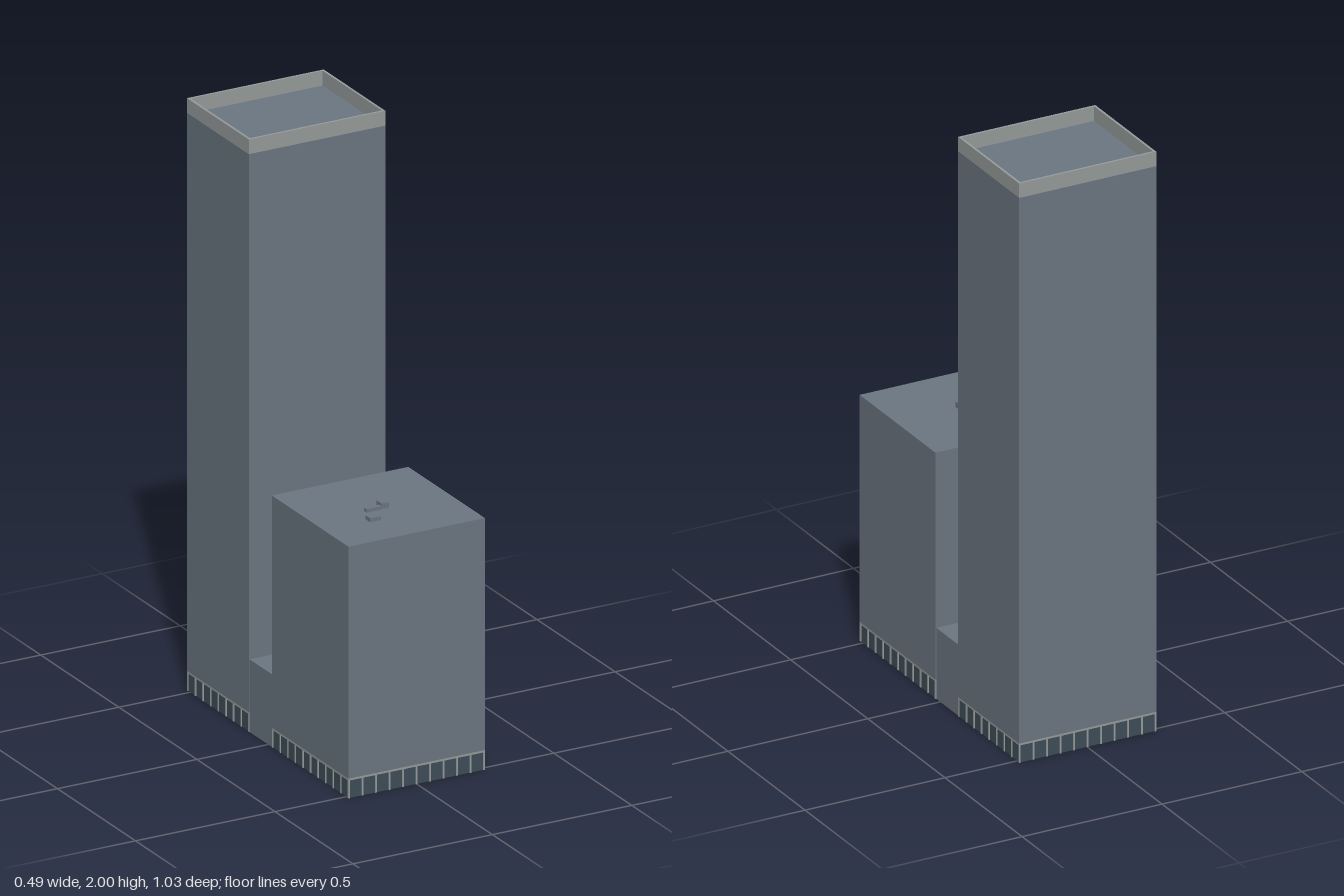
import * as THREE from 'three';

const material = (name, color) => {
  const m = new THREE.MeshStandardMaterial({ color, side: THREE.DoubleSide });
  m.name = name;
  return m;
};

// Box given by its limits; faces listed in omit are left out
// (0 +x, 1 -x, 2 +y, 3 -y, 4 +z, 5 -z)
function box(name, mat, [x0, x1], [y0, y1], [z0, z1], omit = []) {
  const g = new THREE.BoxGeometry(x1 - x0, y1 - y0, z1 - z0);
  const index = Array.from(g.index.array);
  g.setIndex(index.filter((_, i) => !omit.includes(Math.floor(i / 6))));
  g.clearGroups();
  g.translate((x0 + x1) / 2, (y0 + y1) / 2, (z0 + z1) / 2);
  const mesh = new THREE.Mesh(g, mat);
  mesh.name = name;
  return mesh;
}

export function createModel() {
  const wall = material('slate wall', 0x6c7782);
  const trim = material('light grey trim', 0x979d9c);
  const glass = material('dark glass', 0x3f4e59);
  const model = new THREE.Group();
  model.name = 'towerComplex';

  const X = [-0.246, 0.244];
  const towerZ = [-0.517, -0.121];
  const blockZ = [0.026, 0.517];
  const baseH = 0.067;

  // Glazed ground floor: glass walls, header strip and mullions
  function glazedBase(name, xr, zr, nx, nz) {
    const group = new THREE.Group();
    group.name = name;
    const inset = 0.003, w = 0.0055, headY = 0.06;
    group.add(box('glassWall', glass, [xr[0] + inset, xr[1] - inset], [0, headY],
      [zr[0] + inset, zr[1] - inset], [2, 3]));
    group.add(box('headerStrip', trim, xr, [headY, baseH], zr, [2, 3]));
    const post = (x0, x1, z0, z1) =>
      group.add(box('mullion', trim, [x0, x1], [0, headY], [z0, z1]));
    for (let i = 0; i <= nx; i++) {
      const x = xr[0] + (xr[1] - xr[0] - w) * i / nx;
      post(x, x + w, zr[0], zr[0] + 0.005);
      post(x, x + w, zr[1] - 0.005, zr[1]);
    }
    for (let i = 1; i < nz; i++) {
      const z = zr[0] + (zr[1] - zr[0] - w) * i / nz;
      post(xr[0], xr[0] + 0.005, z, z + w);
      post(xr[1] - 0.005, xr[1], z, z + w);
    }
    model.add(group);
  }

  // Tall tower and lower block, both hollow and open below
  model.add(box('tower', wall, X, [baseH, 1.95], towerZ, [3]));
  model.add(box('lowBlock', wall, X, [baseH, 0.85], blockZ, [3]));
  glazedBase('towerBase', X, towerZ, 10, 8);
  glazedBase('blockBase', X, blockZ, 10, 10);

  // Parapet around the tower roof
  const parapet = new THREE.Group();
  parapet.name = 'parapet';
  const t = 0.008, py = [1.95, 2];
  for (const x of [X[0], X[1] - t]) parapet.add(box('parapetSide', trim, [x, x + t], py, towerZ));
  for (const z of [towerZ[0], towerZ[1] - t]) {
    parapet.add(box('parapetEnd', trim, [X[0] + t, X[1] - t], py, [z, z + t]));
  }
  model.add(parapet);

  // Two link wings either side of the open court
  const linkZ = [towerZ[1], blockZ[0]];
  model.add(box('rightLink', wall, [-0.244, -0.077], [0, 0.245], linkZ, [3, 4, 5]));
  model.add(box('leftLink', wall, [0.135, 0.241], [0, 0.245], linkZ, [3, 4, 5]));

  // Oval atrium with a tapering top, open below
  const profile = [[1, 0], [1, 0.2], [0.6, 0.265]].map(([r, y]) => new THREE.Vector2(r, y));
  const ovalGeo = new THREE.LatheGeometry(profile, 16).toNonIndexed();
  ovalGeo.scale(0.096, 1, 0.072);
  ovalGeo.computeVertexNormals();
  const lid = new THREE.CircleGeometry(0.6, 16);
  lid.rotateX(-Math.PI / 2);
  lid.scale(0.096, 1, 0.072);
  lid.translate(0, 0.265, 0);
  const atrium = new THREE.Group();
  atrium.name = 'atrium';
  for (const [name, g] of [['atriumWall', ovalGeo], ['atriumLid', lid]]) {
    const mesh = new THREE.Mesh(g, trim);
    mesh.name = name;
    atrium.add(mesh);
  }
  atrium.position.set(0.029, 0, -0.048);
  model.add(atrium);

  // Roof plant on the low block
  const units = [
    [[-0.087, -0.047], 0.863, [0.342, 0.372]],
    [[-0.057, -0.003], 0.861, [0.28, 0.296]],
    [[-0.003, 0.025], 0.869, [0.263, 0.294]],
  ];
  for (const [x, top, z] of units) model.add(box('roofUnit', wall, x, [0.85, top], z, [3]));

  return model;
}
